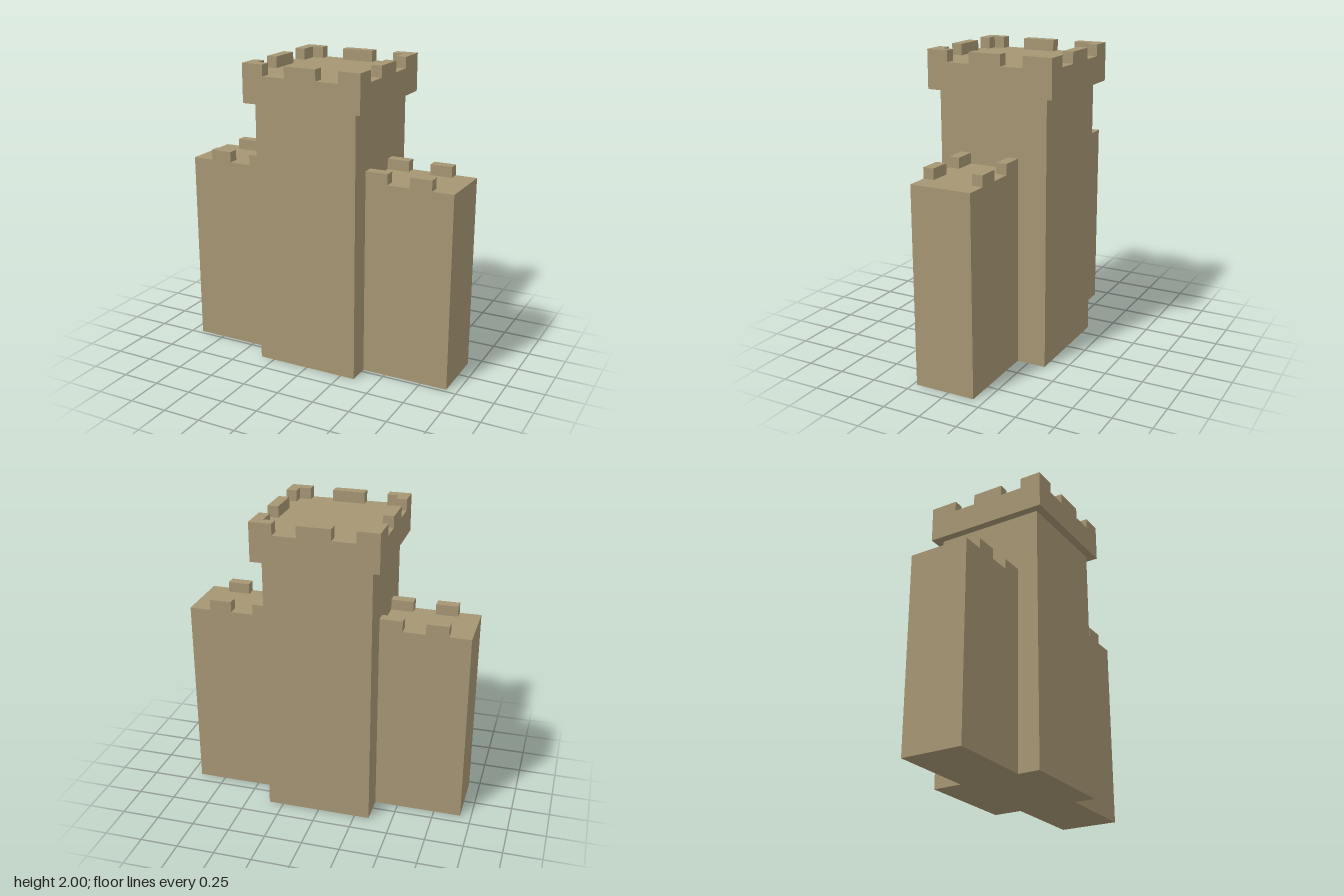
import * as THREE from 'three';

export function createModel() {
  const model = new THREE.Group();
  model.name = 'castleKeep';
  const stone = new THREE.MeshStandardMaterial({ color: 0xa59573, flatShading: true });

  // Box given by its extents along each axis
  const block = (name, [x0, x1], [y0, y1], [z0, z1], parent = model) => {
    const mesh = new THREE.Mesh(new THREE.BoxGeometry(x1 - x0, y1 - y0, z1 - z0), stone);
    mesh.position.set((x0 + x1) / 2, (y0 + y1) / 2, (z0 + z1) / 2);
    mesh.name = name;
    parent.add(mesh);
  };
  const span = (a, b) => (a < b ? [a, b] : [b, a]);
  const T = 0.07; // merlon thickness

  // Central tower with its overhanging crown
  const TX = 0.347, TZ = 0.37, CX = 0.402, CZ0 = -0.428, CZ1 = 0.425;
  block('tower', [-TX, TX], [0, 1.75], [-TZ, TZ]);
  block('crown', [-CX, CX], [1.75, 1.927], [CZ0, CZ1]);

  // Crown battlements: L-shaped corners and one merlon per side
  const battlements = new THREE.Group();
  battlements.name = 'crownBattlements';
  model.add(battlements);
  const top = [1.927, 2];
  for (const s of [-1, 1]) {
    for (const [zEdge, zInner] of [[CZ0, -0.237], [CZ1, 0.282]]) {
      const xo = s * CX, xt = s * (CX - T), xi = s * 0.258;
      const zt = zEdge - Math.sign(zEdge) * T;
      const outline = [[xo, zEdge], [xi, zEdge], [xi, zt], [xt, zt], [xt, zInner], [xo, zInner]];
      const shape = new THREE.Shape(outline.map(([x, z]) => new THREE.Vector2(x, -z)));
      const geometry = new THREE.ExtrudeGeometry(shape, { depth: top[1] - top[0], bevelEnabled: false });
      const corner = new THREE.Mesh(geometry.rotateX(-Math.PI / 2), stone);
      corner.position.y = top[0];
      corner.name = 'cornerMerlon';
      battlements.add(corner);
    }
    block('sideMerlon', span(s * CX, s * (CX - T)), top, [-0.085, 0.13], battlements);
  }
  block('frontMerlon', [-0.107, 0.107], top, [CZ1 - T, CZ1], battlements);
  block('backMerlon', [-0.107, 0.107], top, [CZ0, CZ0 + T], battlements);

  // Side walls with merlons along the front and back edges
  const WZ0 = -0.176, WZ1 = 0.226;
  for (const s of [-1, 1]) {
    const wing = new THREE.Group();
    wing.name = s > 0 ? 'leftWall' : 'rightWall';
    model.add(wing);
    block('wall', span(s * TX, s * 0.928), [0, 1.29], [WZ0, WZ1], wing);
    for (const z of [[WZ0, WZ0 + T], [WZ1 - T, WZ1]]) {
      block('wallMerlon', span(s * TX, s * 0.495), [1.29, 1.36], z, wing);
      block('wallMerlon', span(s * 0.642, s * 0.787), [1.29, 1.36], z, wing);
    }
  }
  return model;
}
